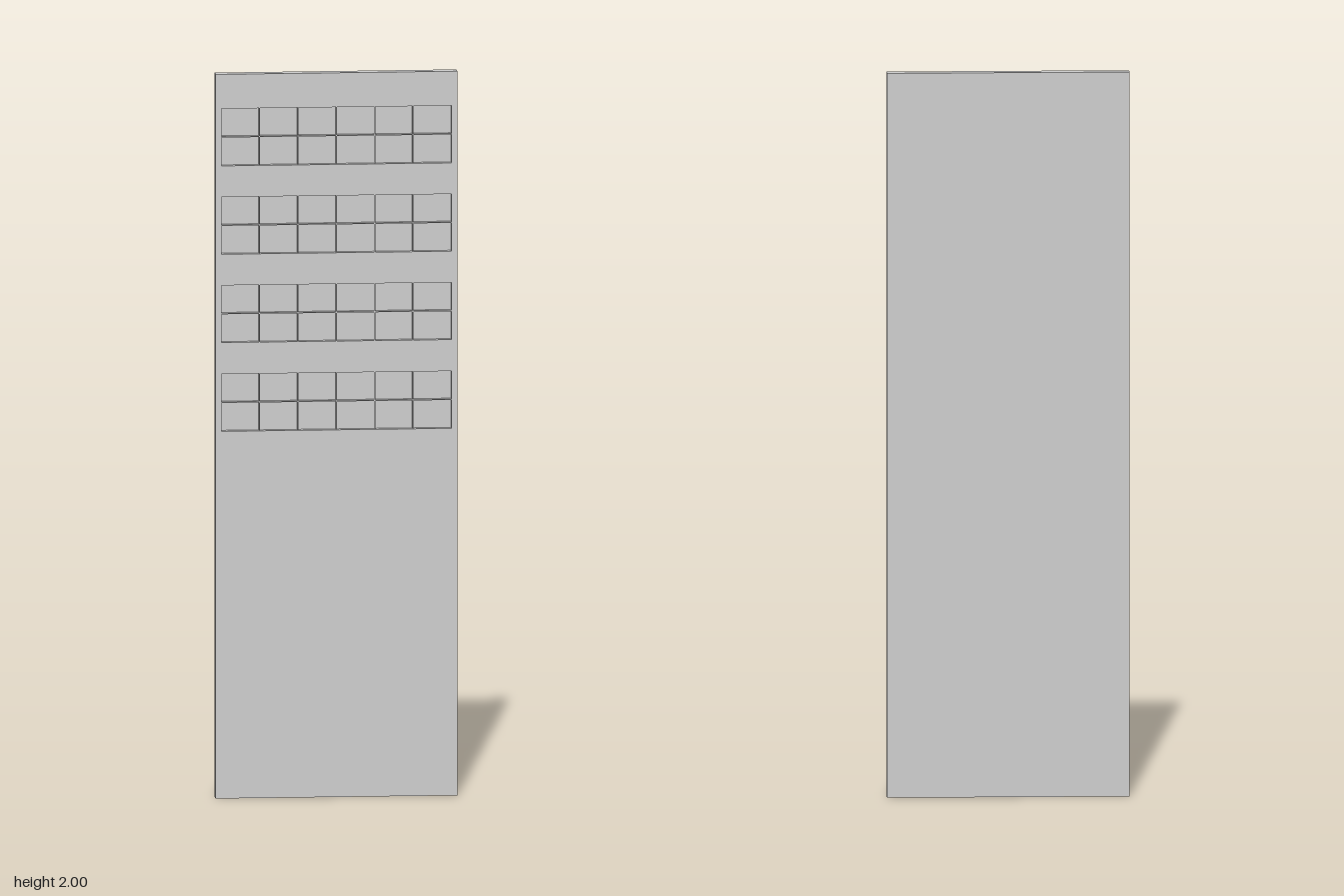
import * as THREE from 'three';

const W = 0.662, H = 2, D = 0.031;       // door slab
const RECESS = 0.018;                    // depth of the window recesses
const WIN_W = 0.631, WIN_H = 0.158;      // window opening
const COLS = 6, ROWS = 2;
const BAR = 0.003, BAR_D = 0.014;        // thin glazing bars
const WINDOW_Y = [1.093, 1.338, 1.582, 1.826];

export function createModel() {
  const group = new THREE.Group();
  const material = new THREE.MeshStandardMaterial({ color: 0xcccccc });

  const add = (parent, name, geometry, x, y, z) => {
    const mesh = new THREE.Mesh(geometry, material);
    mesh.name = name;
    mesh.position.set(x, y, z);
    parent.add(mesh);
  };

  const rectangle = (path, w, h, y) => path
    .moveTo(-w / 2, y - h / 2)
    .lineTo(w / 2, y - h / 2)
    .lineTo(w / 2, y + h / 2)
    .lineTo(-w / 2, y + h / 2)
    .closePath();

  // Solid back of the slab, also the floor of the recesses
  const backD = D - RECESS;
  add(group, 'backPanel', new THREE.BoxGeometry(W, H, backD), 0, H / 2, -D / 2 + backD / 2);

  // Front layer with the window openings
  const face = rectangle(new THREE.Shape(), W, H, H / 2);
  for (const y of WINDOW_Y) face.holes.push(rectangle(new THREE.Path(), WIN_W, WIN_H, y));
  add(group, 'frontPanel',
    new THREE.ExtrudeGeometry(face, { depth: RECESS, bevelEnabled: false }), 0, 0, D / 2 - RECESS);

  // Bars dividing each window into panes
  const barZ = D / 2 - RECESS + BAR_D / 2;
  WINDOW_Y.forEach((y, n) => {
    const bars = new THREE.Group();
    bars.name = `windowBars${n + 1}`;
    for (let i = 1; i < COLS; i++) {
      add(bars, 'verticalBar', new THREE.BoxGeometry(BAR, WIN_H, BAR_D),
        (i / COLS - 0.5) * WIN_W, y, barZ);
    }
    for (let j = 1; j < ROWS; j++) {
      add(bars, 'horizontalBar', new THREE.BoxGeometry(WIN_W, BAR, BAR_D),
        0, y + (j / ROWS - 0.5) * WIN_H, barZ);
    }
    group.add(bars);
  });

  return group;
}
